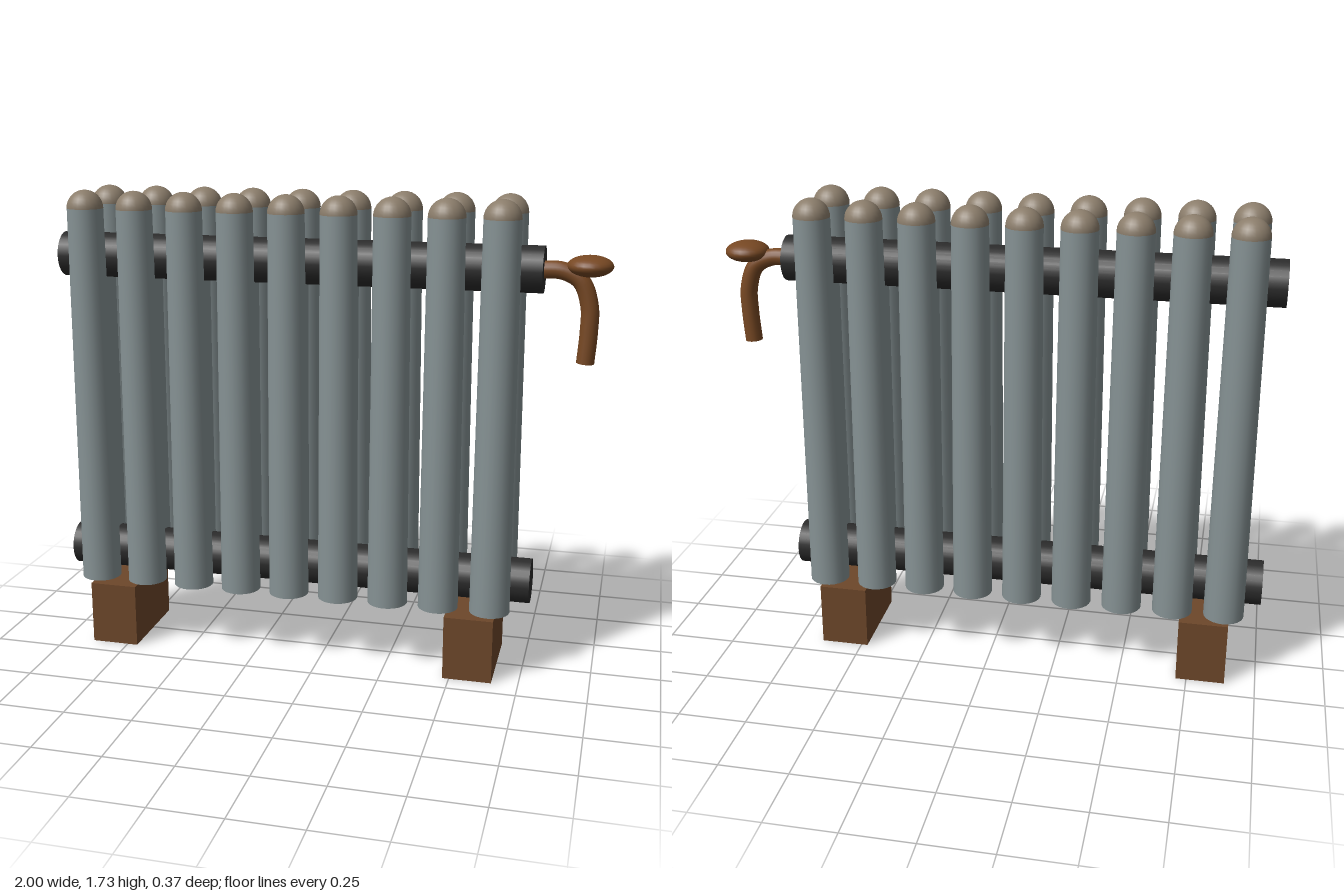
import * as THREE from 'three';

function material(name, color) {
  const m = new THREE.MeshStandardMaterial({ color });
  m.name = name;
  return m;
}

export function createModel() {
  const iron = material('grey iron', 0x869294);
  const capTan = material('cap taupe', 0x8b7d6b);
  const pipeBlack = material('pipe black', 0x2b2b2b);
  const copper = material('valve copper', 0x774823);
  const wood = material('foot brown', 0x6d472a);

  const model = new THREE.Group();
  model.name = 'radiator';
  const add = (name, geometry, mat, x, y, z, parent = model) => {
    const mesh = new THREE.Mesh(geometry, mat);
    mesh.name = name;
    mesh.position.set(x, y, z);
    parent.add(mesh);
    return mesh;
  };

  // Sections: two tapered columns with domed caps, joined by a web
  const columnGeo = new THREE.CylinderGeometry(0.065, 0.073, 1.405, 24);
  const capGeo = new THREE.SphereGeometry(0.0655, 24, 8, 0, Math.PI * 2, 0, Math.PI / 2);
  const webGeo = new THREE.BoxGeometry(0.07, 1.14, 0.2);
  for (let i = 0; i < 9; i++) {
    const section = new THREE.Group();
    section.name = 'section' + (i + 1);
    section.position.x = -0.868 + i * 0.1875;
    model.add(section);
    for (const z of [-0.113, 0.113]) {
      add('column', columnGeo, iron, 0, 0.9575, z, section);
      add('columnCap', capGeo, capTan, 0, 1.66, z, section);
    }
    add('web', webGeo, iron, 0, 0.91, 0, section);
  }

  // Header pipes
  const pipeGeo = new THREE.CylinderGeometry(0.082, 0.082, 1.768, 24).rotateZ(Math.PI / 2);
  add('upperPipe', pipeGeo, pipeBlack, -0.116, 1.48, 0);
  add('lowerPipe', pipeGeo, pipeBlack, -0.116, 0.34, 0);

  // Feet
  const footGeo = new THREE.BoxGeometry(0.178, 0.238, 0.348);
  add('rightFoot', footGeo, wood, -0.8, 0.119, 0);
  add('leftFoot', footGeo, wood, 0.565, 0.119, 0);

  // Valve: bent pipe with closed end and flattened knob
  const valve = new THREE.Group();
  valve.name = 'valve';
  model.add(valve);
  const path = new THREE.CatmullRomCurve3([
    [0.75, 1.48], [0.83, 1.478], [0.893, 1.444], [0.925, 1.36], [0.927, 1.27], [0.92, 1.16],
  ].map(([x, y]) => new THREE.Vector3(x, y, 0)));
  add('valvePipe', new THREE.TubeGeometry(path, 32, 0.031, 16), copper, 0, 0, 0, valve);
  const end = add('valvePipeEnd', new THREE.CircleGeometry(0.031, 16).rotateX(Math.PI / 2),
    copper, 0.92, 1.16, 0, valve);
  end.rotation.z = -0.06;
  add('valveKnob', new THREE.SphereGeometry(0.079, 24, 16).scale(1, 0.47, 1), copper, 0.921, 1.497, 0, valve);

  return model;
}
